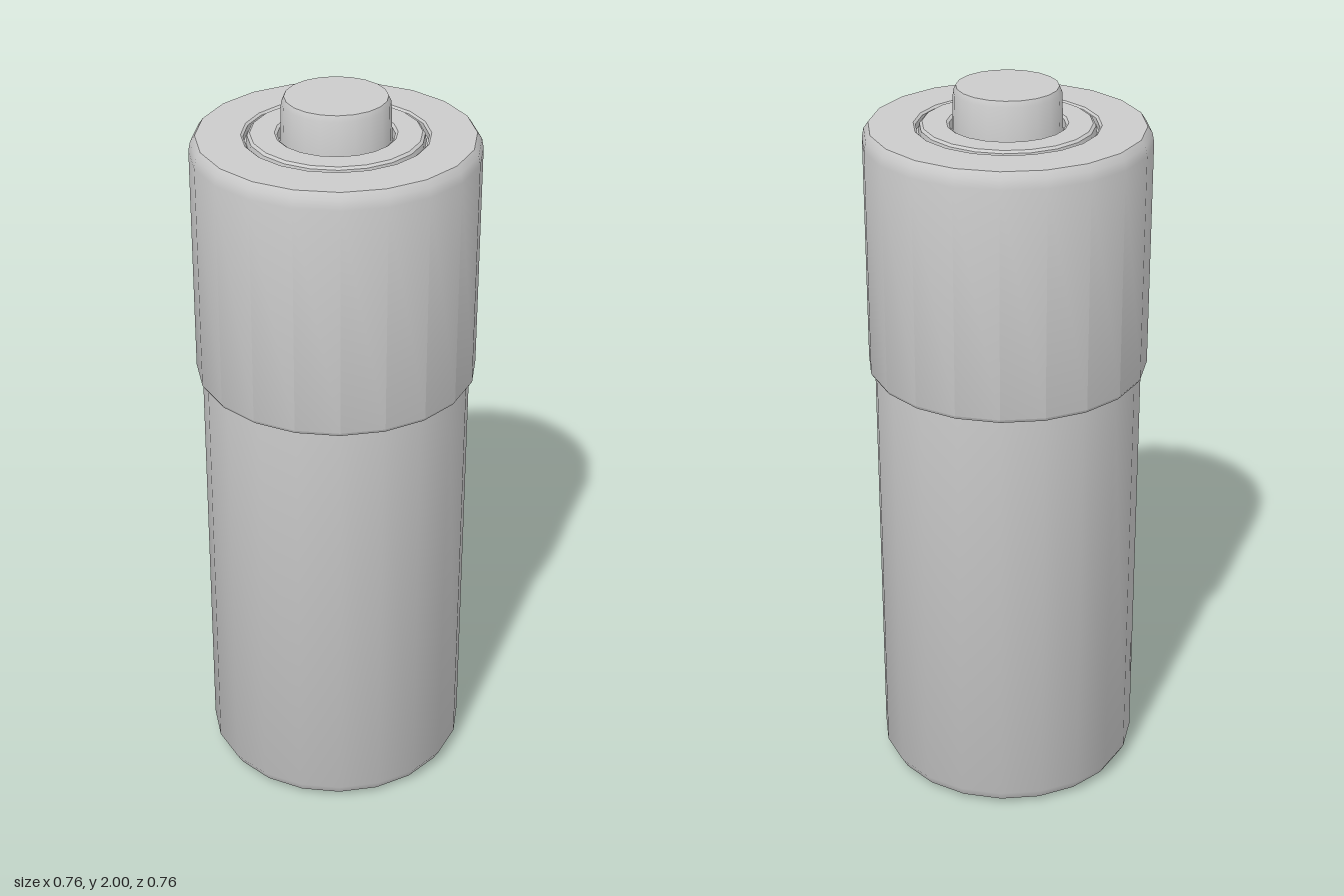
import * as THREE from 'three';
import { toCreasedNormals } from 'three/addons/utils/BufferGeometryUtils.js';

const SIDES = 20;
const material = new THREE.MeshStandardMaterial({ color: 0xcccccc });

// Revolves a [radius, height] profile, listed from the bottom up the outside
function turned(name, profile) {
  const points = profile.map(([r, y]) => new THREE.Vector2(r, y));
  const geometry = toCreasedNormals(new THREE.LatheGeometry(points, SIDES), 0.6);
  const mesh = new THREE.Mesh(geometry, material);
  mesh.name = name;
  return mesh;
}

export function createModel() {
  const group = new THREE.Group();
  group.name = 'battery';

  // Lower casing with a chamfered foot and a round recess underneath
  group.add(turned('body', [
    [0, 0.06], [0.125, 0.06], [0.125, 0], [0.31, 0],
    [0.345, 0.015], [0.362, 0.045], [0.362, 1.23],
  ]));

  // Wider upper sleeve, ending in a groove around the insulator
  group.add(turned('sleeve', [
    [0.36, 1.222], [0.372, 1.222], [0.378, 1.232], [0.378, 1.855],
    [0.373, 1.88], [0.361, 1.897], [0.244, 1.897], [0.238, 1.892],
    [0.238, 1.875], [0, 1.875],
  ]));

  // Raised insulator ring, with a narrow gap around the terminal
  group.add(turned('insulatorRing', [
    [0.231, 1.875], [0.228, 1.896], [0.221, 1.902],
    [0.158, 1.902], [0.151, 1.897], [0.149, 1.875],
  ]));

  // Terminal button
  group.add(turned('terminal', [
    [0.144, 1.875], [0.14, 1.985], [0.133, 2], [0, 2],
  ]));

  return group;
}
